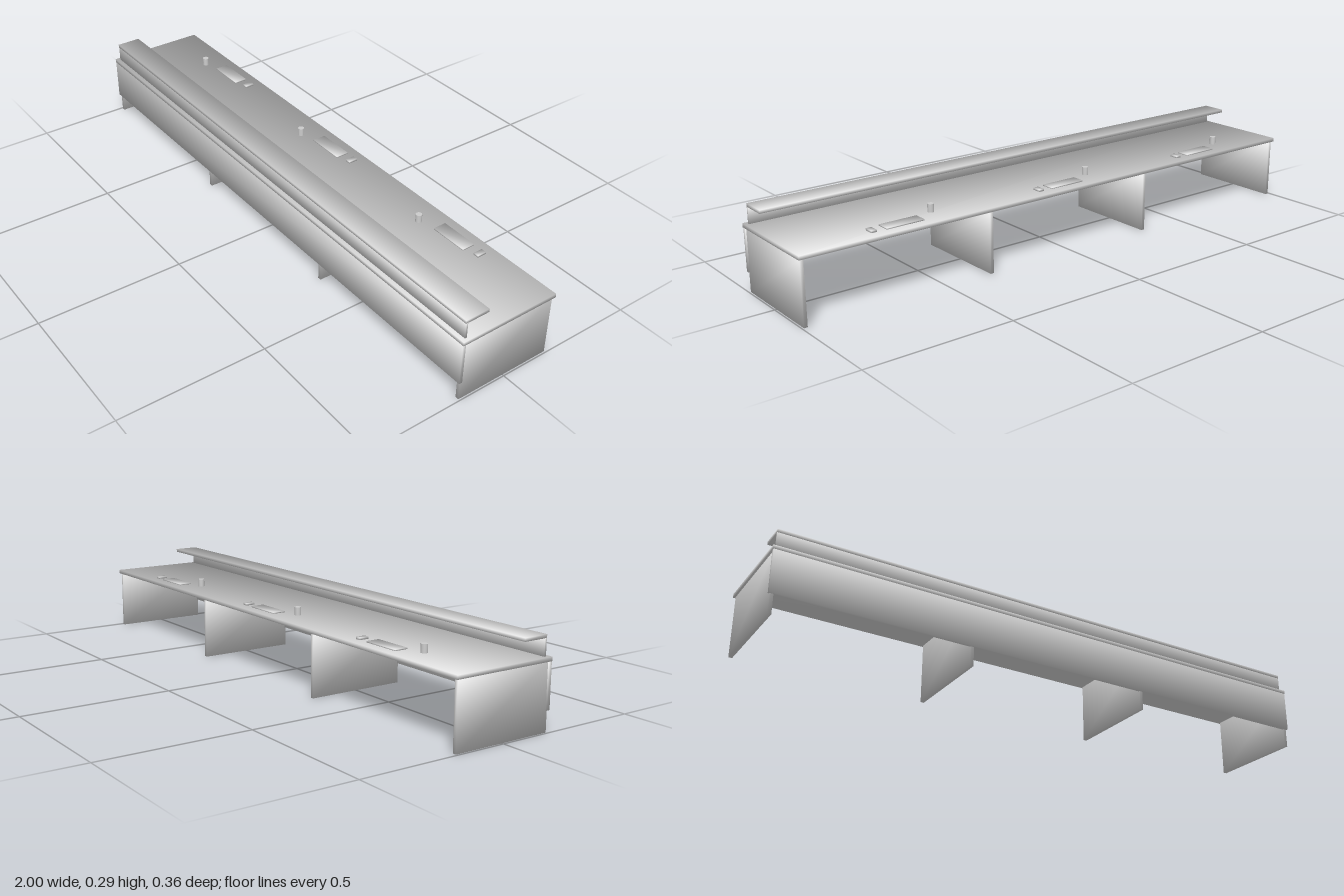
import * as THREE from 'three';

export function createModel() {
  const desk = new THREE.Group();
  desk.name = 'receptionDesk';

  const lightGrey = new THREE.MeshStandardMaterial({ color: 0xcccccc });
  lightGrey.name = 'lightGrey';

  // Box given by its [min, max] range on each axis, with corner normals shared by the
  // adjoining faces so the shading runs softly over the edges.
  function board(name, [x0, x1], [y0, y1], [z0, z1], parent = desk) {
    const geometry = new THREE.BoxGeometry(x1 - x0, y1 - y0, z1 - z0);
    const { position, normal } = geometry.attributes;
    const corner = new THREE.Vector3();
    for (let i = 0; i < position.count; i++) {
      corner.fromBufferAttribute(position, i);
      corner.set(Math.sign(corner.x), Math.sign(corner.y), Math.sign(corner.z)).normalize();
      normal.setXYZ(i, corner.x, corner.y, corner.z);
    }
    const mesh = new THREE.Mesh(geometry, lightGrey);
    mesh.name = name;
    mesh.position.set((x0 + x1) / 2, (y0 + y1) / 2, (z0 + z1) / 2);
    parent.add(mesh);
    return mesh;
  }

  const topY = 0.222;

  // Worktop and the modesty panel hanging from its front edge
  board('worktop', [-1, 1], [0.209, topY], [-0.178, 0.178]);
  board('frontPanel', [-0.998, 0.998], [0.066, 0.209], [0.167, 0.178]);

  // Four evenly spaced upright supports
  for (let i = 0; i < 4; i++) {
    const x = -0.988 + (i * 1.976) / 3;
    board('supportPanel' + (i + 1), [x - 0.006, x + 0.006], [0, 0.209], [-0.17, 0.171]);
  }

  // Raised visitor counter on a thin riser
  board('counterRiser', [-0.988, 0.988], [topY, 0.276], [0.157, 0.164]);
  board('counterShelf', [-0.988, 0.988], [0.275, 0.286], [0.079, 0.165]);

  // Three work stations, each with a cup, a keyboard and a mouse
  [-0.63, 0, 0.63].forEach((x, i) => {
    const station = new THREE.Group();
    station.name = 'workStation' + (i + 1);
    station.position.x = x;
    desk.add(station);

    const cup = new THREE.Mesh(new THREE.CylinderGeometry(0.0105, 0.0105, 0.027, 24), lightGrey);
    cup.name = 'cup';
    cup.position.set(-0.13, topY + 0.0135, -0.086);
    station.add(cup);

    board('keyboard', [-0.07, 0.063], [topY, 0.226], [-0.143, -0.097], station);
    board('mouse', [0.096, 0.115], [topY, 0.229], [-0.142, -0.11], station);
  });

  return desk;
}
